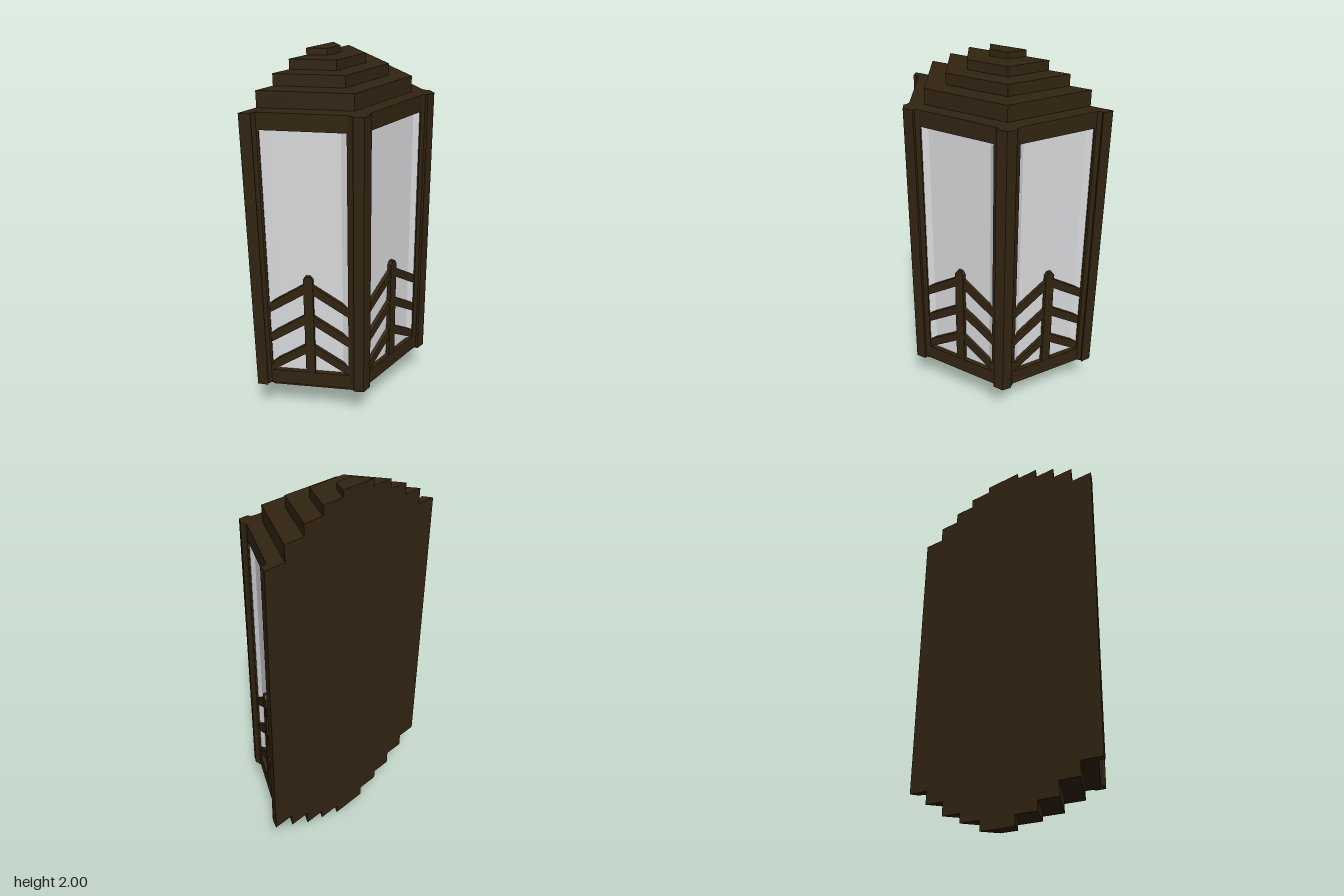
import * as THREE from 'three';

const BACK = -0.253; // wall plane
const wood = new THREE.MeshStandardMaterial({ color: 0x322411 });
wood.name = 'dark bronze';
const pale = new THREE.MeshStandardMaterial({ color: 0xd9dadc });
pale.name = 'frosted glass';

const shapeOf = (pts) => new THREE.Shape(pts.map(([x, y]) => new THREE.Vector2(x, y)));

function add(parent, name, geometry, material = wood) {
  const mesh = new THREE.Mesh(geometry, material);
  mesh.name = name;
  parent.add(mesh);
  return mesh;
}

// Vertical prism from an (x, z) outline
function prism(pts, y0, y1) {
  const g = new THREE.ExtrudeGeometry(shapeOf(pts.map(([x, z]) => [x, -z])), { depth: y1 - y0, bevelEnabled: false });
  return g.rotateX(-Math.PI / 2).translate(0, y0, 0);
}

// Plate in the panel plane, from z0 to z1 outward
function plate(shape, z0, z1) {
  return new THREE.ExtrudeGeometry(shape, { depth: z1 - z0, bevelEnabled: false }).translate(0, 0, z0);
}

// Half hexagon with its flat side on the wall
function halfHex(r) {
  const a = r * Math.sqrt(3) / 2;
  return [[BACK, -r], [BACK + a, -r / 2], [BACK + a, r / 2], [BACK, r]];
}

// One framed pane with its branch lattice; outward is +z, front plane at z = 0
function makePanel() {
  const panel = new THREE.Group();
  panel.name = 'panel';

  const frame = shapeOf([[-0.255, 0.245], [0.255, 0.245], [0.255, 1.775], [-0.255, 1.775]]);
  frame.holes.push(new THREE.Path([[-0.209, 0.33], [-0.209, 1.69], [0.209, 1.69], [0.209, 0.33]]
    .map(([x, y]) => new THREE.Vector2(x, y))));
  add(panel, 'frame', plate(frame, -0.04, 0));

  // Pane whose side edges flare outward
  add(panel, 'glass', prism([[-0.215, -0.004], [-0.178, -0.025], [0.178, -0.025], [0.215, -0.004],
    [0.215, -0.035], [-0.215, -0.035]], 0.31, 1.71), pale);

  // Stem with a pointed tip
  add(panel, 'stem', plate(shapeOf([[-0.025, 0.32], [0.025, 0.32], [0.025, 0.9], [0.011, 0.92],
    [-0.011, 0.92], [-0.025, 0.9]]), -0.03, -0.001));

  // Three pairs of sloping branches
  for (const y of [0.45, 0.633, 0.817]) {
    for (const s of [-1, 1]) {
      add(panel, 'branch', plate(shapeOf([[s * 0.02, y], [s * 0.212, y - 0.125],
        [s * 0.212, y - 0.07], [s * 0.02, y + 0.055]]), -0.03, -0.004));
    }
  }
  return panel;
}

export function createModel() {
  const model = new THREE.Group();
  model.name = 'wallLantern';
  const body = new THREE.Group();
  body.name = 'lanternBody';
  body.rotation.y = -0.022;
  model.add(body);

  // Stepped tiers above and below the glazed body
  const tiers = [
    [0.47, 1.775, 1.857], [0.352, 1.857, 1.916], [0.234, 1.916, 1.966], [0.106, 1.966, 2.0],
    [0.47, 0.175, 0.245], [0.352, 0.102, 0.175], [0.234, 0.053, 0.102], [0.106, 0, 0.053],
  ];
  for (const [r, y0, y1] of tiers) add(body, 'tier', prism(halfHex(r), y0, y1));

  // Closing slabs and wall plate
  add(body, 'topSlab', prism(halfHex(0.558), 1.695, 1.775));
  add(body, 'bottomSlab', prism(halfHex(0.558), 0.245, 0.325));
  add(body, 'backPlate', new THREE.BoxGeometry(0.03, 1.53, 1.1).translate(BACK + 0.015, 1.01, 0));

  // Three glazed sides
  for (const a of [-Math.PI / 3, 0, Math.PI / 3]) {
    const panel = makePanel();
    panel.position.set(BACK + 0.486 * Math.cos(a), 0, 0.486 * Math.sin(a));
    panel.rotation.y = Math.PI / 2 - a;
    body.add(panel);
  }

  // Corner and wall posts, mirrored
  const corner = [[0.233, 0.215], [0.24, 0.235], [0.255, 0.235], [0.256, 0.293], [0.212, 0.321],
    [0.2, 0.316], [0.177, 0.316], [0.16, 0.28], [0.2, 0.215]];
  const wall = [[-0.2, 0.53], [-0.208, 0.553], [-0.198, 0.563], [BACK, 0.589], [BACK, 0.52], [-0.215, 0.5]];
  for (const s of [-1, 1]) {
    add(body, 'cornerPost', prism(corner.map(([x, z]) => [x, s * z]), 0.245, 1.775));
    add(body, 'wallPost', prism(wall.map(([x, z]) => [x, s * z]), 0.245, 1.775));
  }
  return model;
}
